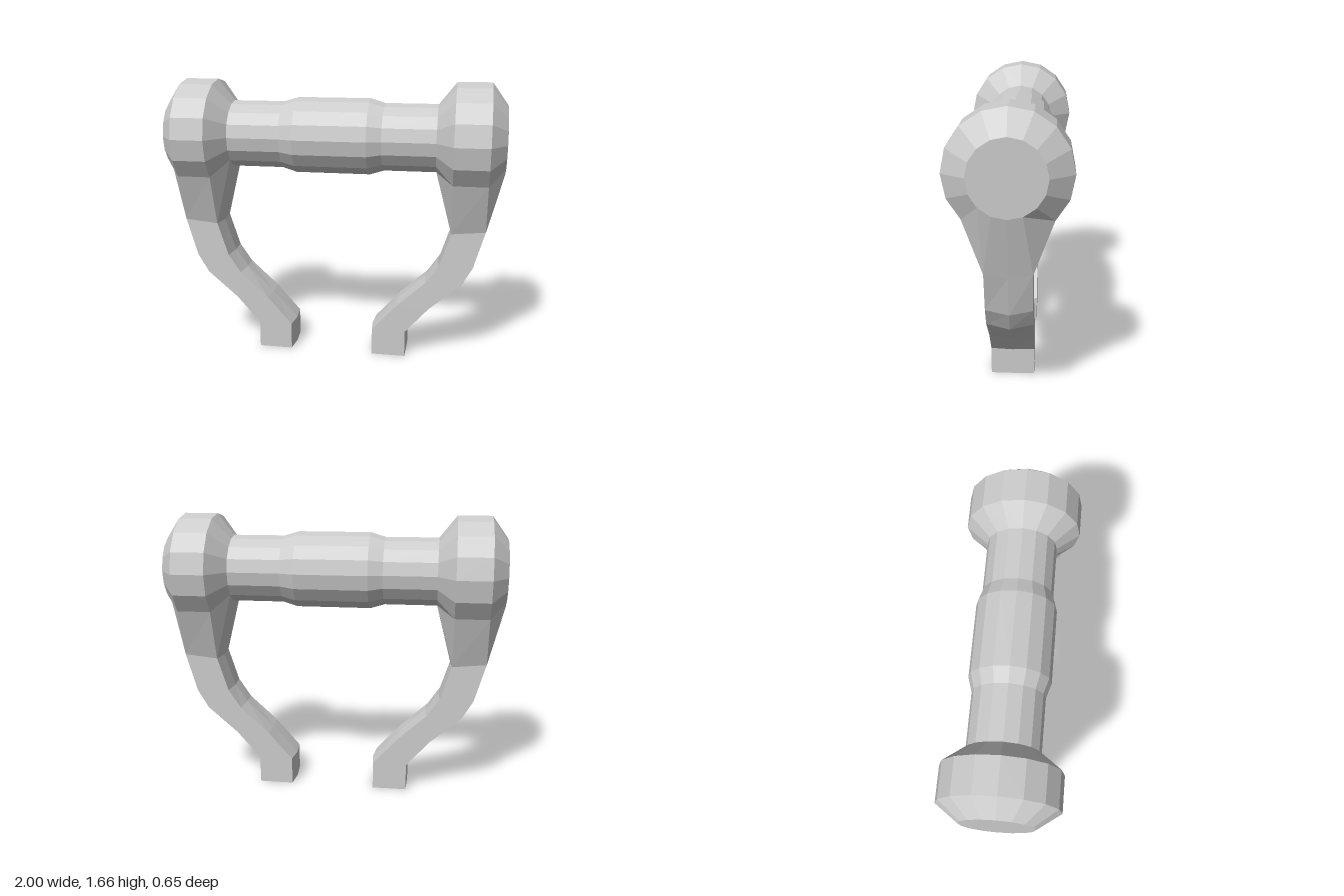
import * as THREE from 'three';

const AXIS_Y = 1.33; // height of the grip's axis
const R = 0.327; // hub radius
const HALF_DEPTH = 0.125; // half thickness of an arm

// Arm sections from foot to hub: side [x, y] and middle ridge [x, y], per face.
const OUTER = [
  { side: [0.455, 0], mid: [0.457, 0] },
  { side: [0.455, 0.16], mid: [0.457, 0.155] },
  { side: [0.595, 0.318], mid: [0.605, 0.3] },
  { side: [0.777, 0.475], mid: [0.79, 0.45] },
  { side: [0.842, 0.585], mid: [0.85, 0.56] },
  { side: [0.908, 0.81], mid: [0.908, 0.795] },
];
const INNER = [
  { side: [0.253, 0], mid: [0.243, 0] },
  { side: [0.253, 0.16], mid: [0.243, 0.158] },
  { side: [0.4, 0.325], mid: [0.395, 0.325] },
  { side: [0.57, 0.48], mid: [0.56, 0.485] },
  { side: [0.645, 0.59], mid: [0.635, 0.59] },
  { side: [0.71, 0.79], mid: [0.7, 0.785] },
];

// Sixteen-sided solid of revolution around the x axis, from [x, radius] pairs.
function turnedAlongX(profile) {
  const geometry = new THREE.LatheGeometry(
    profile.map(([x, r]) => new THREE.Vector2(r, x)), 16);
  return geometry.rotateZ(-Math.PI / 2).translate(0, AXIS_Y, 0);
}

// Moves each vertex by a rule that edits it in place.
function reshape(geometry, rule) {
  const pos = geometry.attributes.position;
  const v = new THREE.Vector3();
  for (let i = 0; i < pos.count; i++) {
    rule(v.fromBufferAttribute(pos, i));
    pos.setXYZ(i, v.x, v.y, v.z);
  }
  return geometry;
}

// Places a vertex on one section of the arm.
function toSection(v, faces, level, z) {
  const [x, y] = Math.abs(z) < 0.01 ? faces[level].mid : faces[level].side;
  v.set(x, y, z);
}

export function createModel() {
  const model = new THREE.Group();
  const material = new THREE.MeshStandardMaterial({
    color: 0xcccccc, flatShading: true, side: THREE.DoubleSide,
  });
  const add = (parent, name, geometry) => {
    const flat = geometry.toNonIndexed();
    flat.computeVertexNormals();
    const mesh = new THREE.Mesh(flat, material);
    mesh.name = name;
    parent.add(mesh);
  };

  // Grip, thicker in the middle
  add(model, 'grip', turnedAlongX([
    [-0.61, 0.2], [-0.3, 0.2], [-0.215, 0.226],
    [0.215, 0.226], [0.3, 0.2], [0.61, 0.2],
  ]));

  // The two sides are the same shape turned half way around
  for (const [name, turn] of [['left', 0], ['right', Math.PI]]) {
    const side = new THREE.Group();
    side.name = `${name}Side`;
    side.rotation.y = turn;
    model.add(side);

    // Hub, its lowest rim vertices drawn down to meet the arm
    const hub = turnedAlongX([
      [0.61, 0.2], [0.71, R], [0.908, R], [1, 0.2], [1, 0],
    ]);
    add(side, `${name}Hub`, reshape(hub, (v) => {
      if (v.y < AXIS_Y - 0.29) toSection(v, v.x > 0.8 ? OUTER : INNER, 5, v.z);
    }));

    // Curved arm ending in a square foot
    const arm = new THREE.BoxGeometry(1, 1, 1, 1, 5, 2);
    add(side, `${name}Arm`, reshape(arm, (v) => {
      const level = Math.round((v.y + 0.5) * 5);
      toSection(v, v.x > 0 ? OUTER : INNER, level, v.z * 2 * HALF_DEPTH);
    }));
  }
  return model;
}
